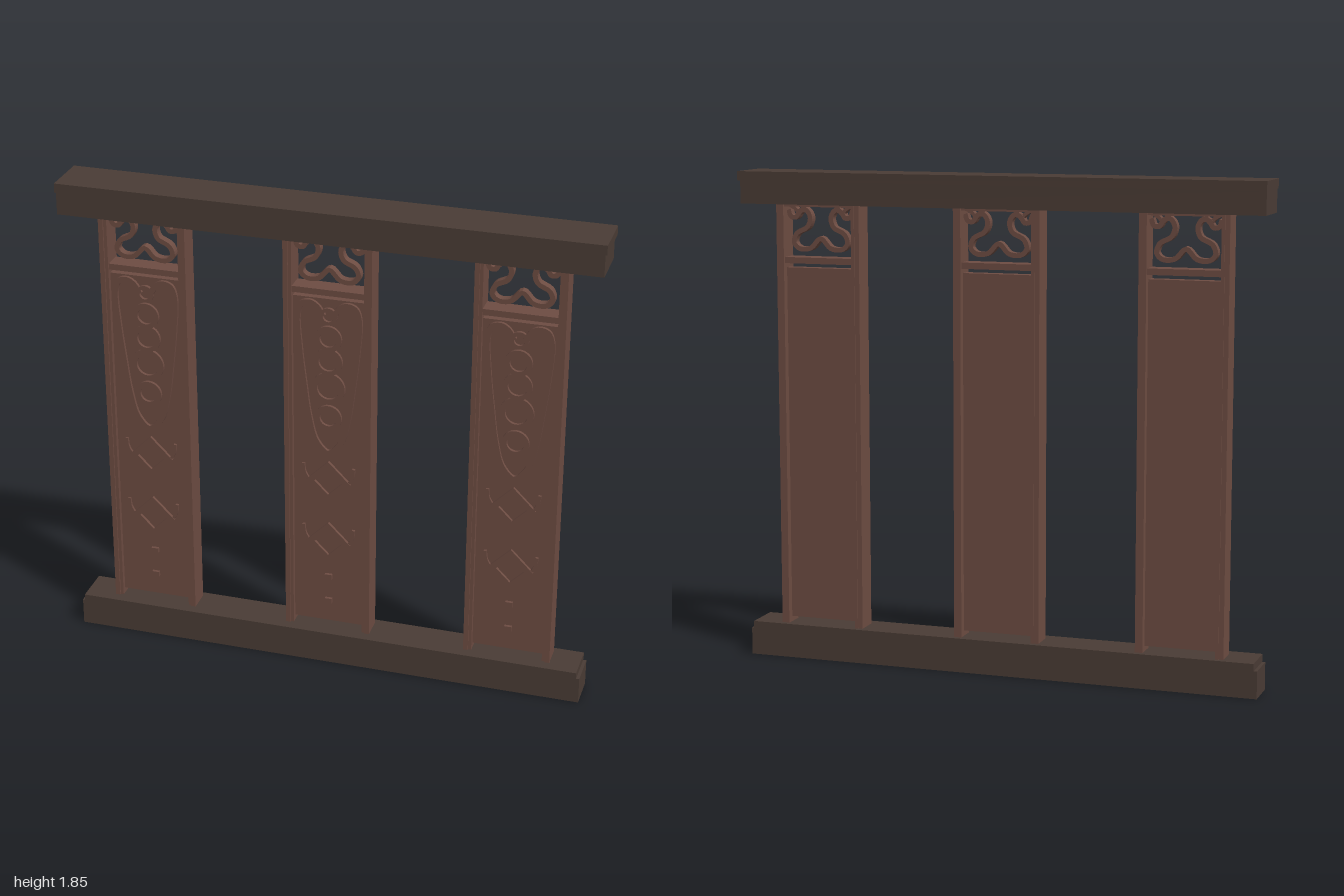
import * as THREE from 'three';

const darkWood = new THREE.MeshStandardMaterial({ color: 0x4a3c35 });
darkWood.name = 'darkWood';
const redWood = new THREE.MeshStandardMaterial({ color: 0x6d4c42 });
redWood.name = 'redWood';

const PANEL_BACK = -0.03, PANEL_FRONT = 0.01, RELIEF = 0.012;

function add(parent, name, geometry, material = redWood) {
  const mesh = new THREE.Mesh(geometry, material);
  mesh.name = name;
  parent.add(mesh);
  return mesh;
}

// Box given by its limits on each axis
function box(parent, name, x0, x1, y0, y1, z0, z1, material) {
  const mesh = add(parent, name, new THREE.BoxGeometry(x1 - x0, y1 - y0, z1 - z0), material);
  mesh.position.set((x0 + x1) / 2, (y0 + y1) / 2, (z0 + z1) / 2);
  return mesh;
}

function extrude(shape, z, depth) {
  return new THREE.ExtrudeGeometry(shape, { depth, bevelEnabled: false, curveSegments: 16 }).translate(0, 0, z);
}

// Flat strip of constant width following a smooth path
function strip(points, width, z, depth, steps = 40) {
  const curve = new THREE.CatmullRomCurve3(points.map(([x, y]) => new THREE.Vector3(x, y, 0)));
  const near = [], far = [];
  for (let i = 0; i <= steps; i++) {
    const p = curve.getPoint(i / steps), t = curve.getTangent(i / steps);
    const dx = -t.y * width / 2, dy = t.x * width / 2;
    near.push(new THREE.Vector2(p.x + dx, p.y + dy));
    far.unshift(new THREE.Vector2(p.x - dx, p.y - dy));
  }
  return extrude(new THREE.Shape([...near, ...far]), z, depth);
}

// Half path plus its mirror image, joined on the centre line
function mirrored(half) {
  const other = half.filter(([x]) => x !== 0).map(([x, y]) => [-x, y]).reverse();
  return [...half, ...other];
}

function ring(y, outer, inner) {
  const shape = new THREE.Shape().absarc(0, y, outer, 0, Math.PI * 2);
  shape.holes.push(new THREE.Path().absarc(0, y, inner, 0, Math.PI * 2, true));
  return extrude(shape, PANEL_FRONT, RELIEF);
}

function diamond(y, outer, inner) {
  const corners = r => [[0, -r], [r, 0], [0, r], [-r, 0]].map(([x, dy]) => new THREE.Vector2(x, y + dy));
  const shape = new THREE.Shape(corners(outer));
  shape.holes.push(new THREE.Path(corners(inner).reverse()));
  return extrude(shape, PANEL_FRONT, RELIEF);
}

function carvedPanel() {
  const g = new THREE.Group();
  g.name = 'carvedPanel';

  // Posts with a stepped inner moulding
  for (const s of [-1, 1]) {
    const post = box(g, 'post', 0.147, 0.165, 0.12, 1.74, -0.054, 0.034);
    post.position.x *= s;
    const moulding = box(g, 'postMoulding', 0.135, 0.147, 0.12, 1.74, -0.058, 0.028);
    moulding.position.x *= s;
  }
  box(g, 'panelBoard', -0.138, 0.138, 0.152, 1.49, PANEL_BACK, PANEL_FRONT);
  box(g, 'crossRail', -0.138, 0.138, 1.507, 1.53, -0.048, 0.022);
  box(g, 'topRail', -0.138, 0.138, 1.718, 1.735, -0.048, 0.022);

  // Pierced scrollwork above the cross rail
  const scroll = mirrored([
    [-0.128, 1.705], [-0.118, 1.68], [-0.098, 1.678], [-0.083, 1.7], [-0.06, 1.706],
    [-0.042, 1.68], [-0.052, 1.643], [-0.096, 1.617], [-0.107, 1.583], [-0.085, 1.561],
    [-0.04, 1.564], [0, 1.6],
  ]);
  add(g, 'scrollwork', strip(scroll, 0.018, -0.025, 0.03, 110));
  for (const s of [-1, 1]) {
    const curl = [[-0.122, 1.722], [-0.1, 1.708], [-0.085, 1.692], [-0.072, 1.712], [-0.06, 1.722]];
    add(g, 'cornerCurl', strip(curl.map(([x, y]) => [x * s, y]), 0.013, -0.024, 0.028, 24));
  }

  // Long pendant border, raised from the board
  const border = mirrored([
    [-0.02, 1.425], [-0.04, 1.458], [-0.066, 1.474], [-0.1, 1.466], [-0.115, 1.425],
    [-0.108, 1.29], [-0.092, 1.15], [-0.074, 1.02], [-0.046, 0.92], [0, 0.876],
  ]);
  add(g, 'pendantBorder', strip(border, 0.021, PANEL_FRONT, RELIEF, 90));

  // Chain of rings under a small crown
  const rings = [[1.425, 0.033, 0.02], [1.337, 0.05, 0.032], [1.246, 0.053, 0.036],
    [1.139, 0.063, 0.042], [1.02, 0.05, 0.032]];
  for (const [y, outer, inner] of rings) add(g, 'ringCarving', ring(y, outer, inner));

  // Diamonds flanked by curved wings
  for (const y of [0.755, 0.497]) {
    add(g, 'diamondCarving', diamond(y, 0.085, 0.053));
    for (const s of [-1, 1]) {
      const wing = [[0.097, 0.065], [0.092, 0.028], [0.07, -0.008], [0.044, -0.038]];
      add(g, 'diamondWing', strip(wing.map(([x, dy]) => [x * s, y + dy]), 0.011, PANEL_FRONT, RELIEF - 0.002, 16));
    }
  }
  for (const y of [0.348, 0.243]) {
    box(g, 'studCarving', -0.014, 0.014, y - 0.01, y + 0.01, PANEL_FRONT, PANEL_FRONT + RELIEF);
  }
  return g;
}

export function createModel() {
  const model = new THREE.Group();
  model.name = 'carvedScreen';

  // Base and head beams, each with a cap
  box(model, 'baseBeam', -0.99, 0.985, 0, 0.103, -0.068, 0.067, darkWood);
  box(model, 'baseCap', -0.978, 0.973, 0.103, 0.131, -0.075, 0.074, darkWood);
  box(model, 'headBeam', -0.997, 0.993, 1.728, 1.813, -0.086, 0.086, darkWood);
  box(model, 'headCap', -1, 1, 1.813, 1.848, -0.096, 0.093, darkWood);

  for (const x of [-0.698, 0, 0.698]) {
    const panel = carvedPanel();
    panel.position.x = x;
    model.add(panel);
  }
  return model;
}
